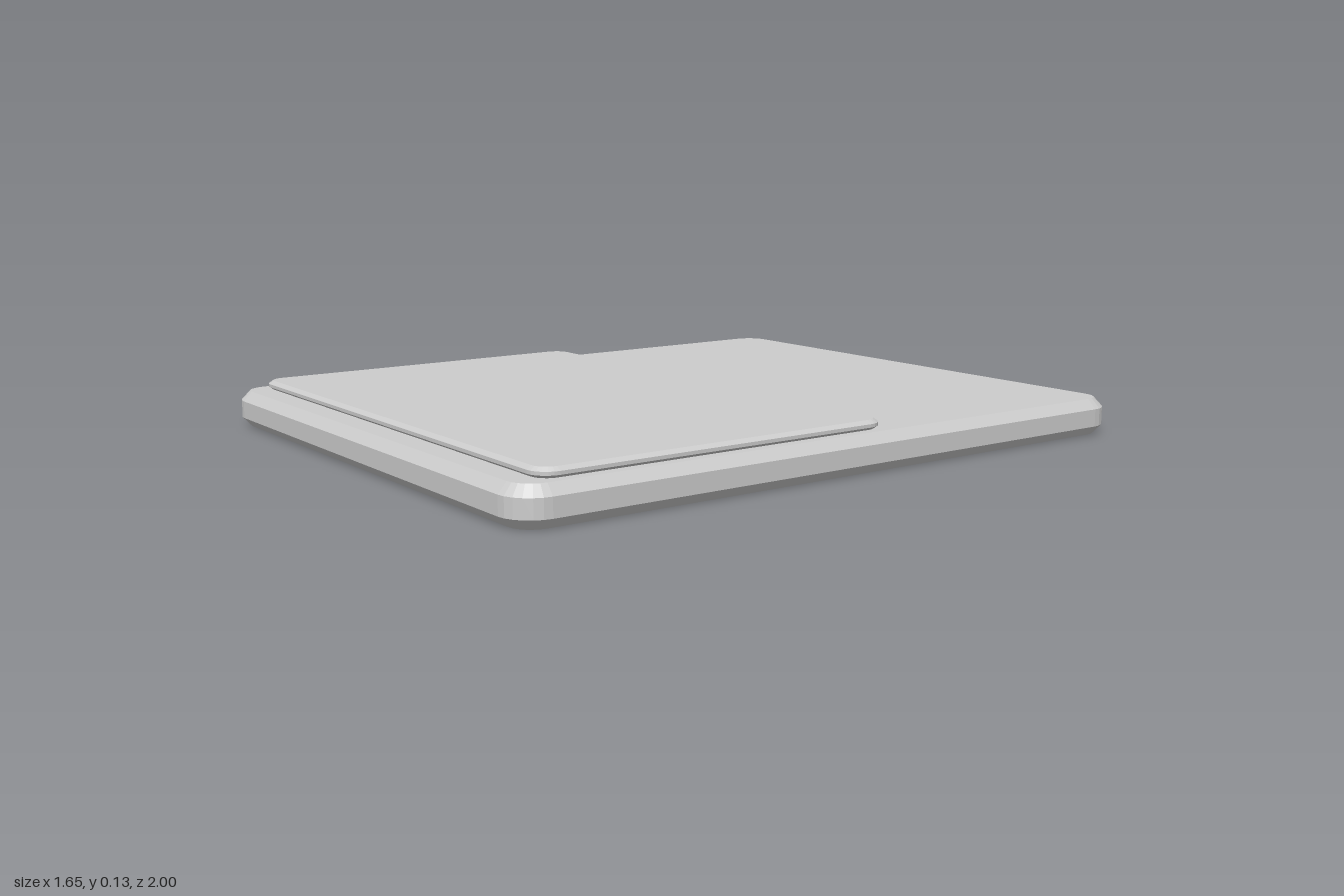
import * as THREE from 'three';

// Rounded slab with chamfered rims, standing on y = 0; hx and hz are outer half sizes
function slab(hx, hz, height, radius, inset, rise, segments) {
  const x = hx - inset, z = hz - inset, r = radius - inset;
  const s = new THREE.Shape();
  s.absarc(x - r, z - r, r, 0, Math.PI / 2, false);
  s.absarc(-x + r, z - r, r, Math.PI / 2, Math.PI, false);
  s.absarc(-x + r, -z + r, r, Math.PI, Math.PI * 1.5, false);
  s.absarc(x - r, -z + r, r, Math.PI * 1.5, Math.PI * 2, false);
  const geometry = new THREE.ExtrudeGeometry(s, {
    depth: height - 2 * rise,
    bevelEnabled: true,
    bevelSize: inset,
    bevelThickness: rise,
    bevelSegments: 1,
    curveSegments: segments,
  });
  geometry.rotateX(-Math.PI / 2);
  geometry.translate(0, rise, 0);
  return geometry;
}

export function createModel() {
  const group = new THREE.Group();
  const grey = new THREE.MeshStandardMaterial({ color: 0xcccccc });
  grey.name = 'grey';

  // Thick lower body
  const base = new THREE.Mesh(slab(0.825, 1, 0.104, 0.09, 0.025, 0.027, 3), grey);
  base.name = 'base';
  group.add(base);

  // Thin raised panel over the front half
  const panel = new THREE.Mesh(slab(0.783, 0.526, 0.027, 0.055, 0.013, 0.009, 3), grey);
  panel.name = 'raisedPanel';
  panel.position.set(0, 0.103, 0.394);
  group.add(panel);

  return group;
}
